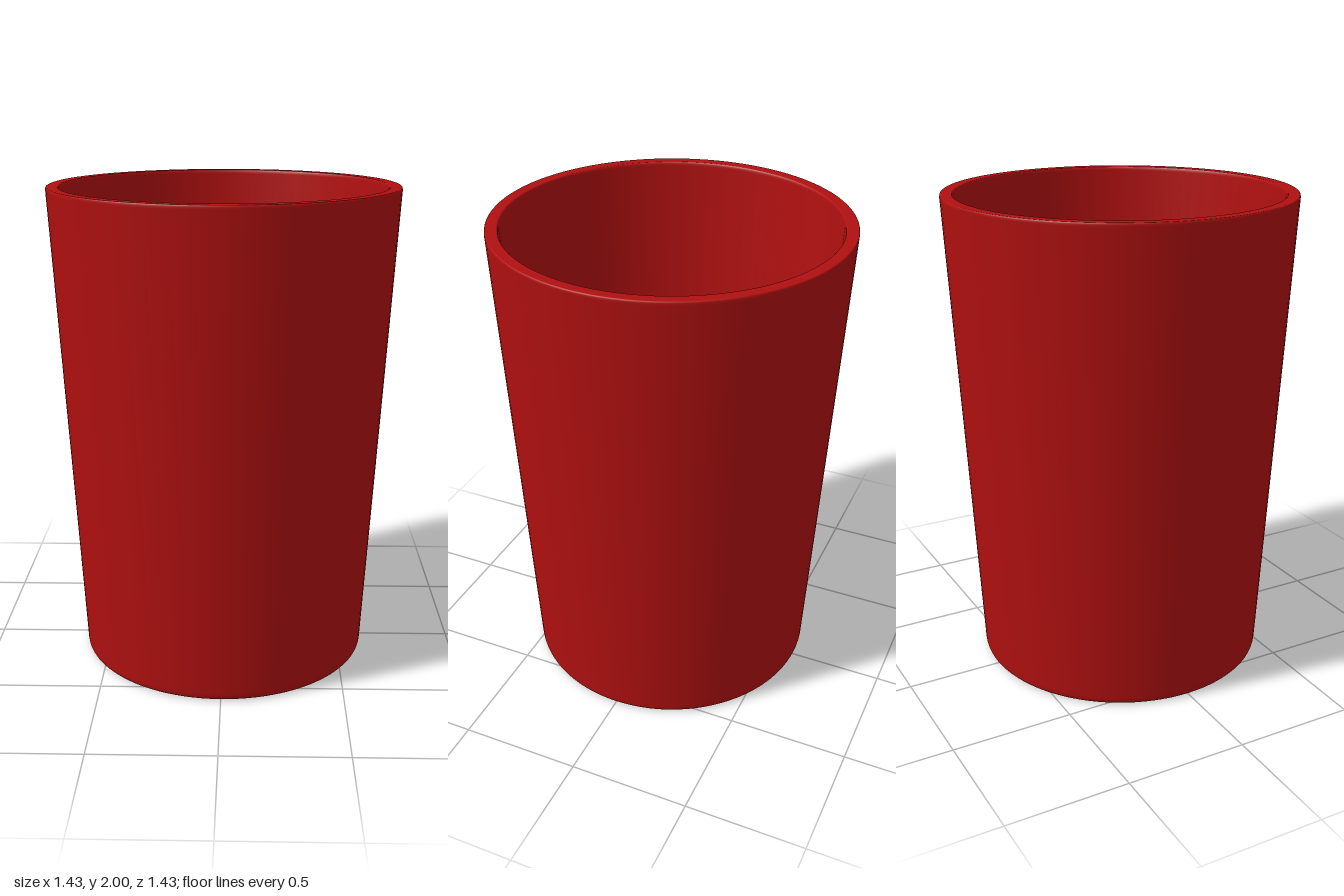
import * as THREE from 'three';

export function createModel() {
  const group = new THREE.Group();
  group.name = 'cup';
  const material = new THREE.MeshStandardMaterial({ color: 0xb01010 });

  // Closed wall section: underside, outer wall, rim, inner wall, floor
  const profile = new THREE.Path();
  profile.moveTo(0, 0);
  profile.lineTo(0.575, 0);
  profile.lineTo(0.585, 0);
  profile.quadraticCurveTo(0.606, 0, 0.608, 0.025);
  profile.lineTo(0.609, 0.04);
  profile.lineTo(0.716, 1.985);
  profile.quadraticCurveTo(0.717, 2, 0.711, 2);
  profile.lineTo(0.671, 2);
  profile.quadraticCurveTo(0.665, 2, 0.664, 1.985);
  profile.lineTo(0.561, 0.085);
  profile.quadraticCurveTo(0.56, 0.055, 0.54, 0.055);
  profile.lineTo(0.53, 0.055);
  profile.lineTo(0, 0.055);

  const body = new THREE.Mesh(new THREE.LatheGeometry(profile.getPoints(5), 96), material);
  body.name = 'cupBody';
  group.add(body);
  return group;
}
